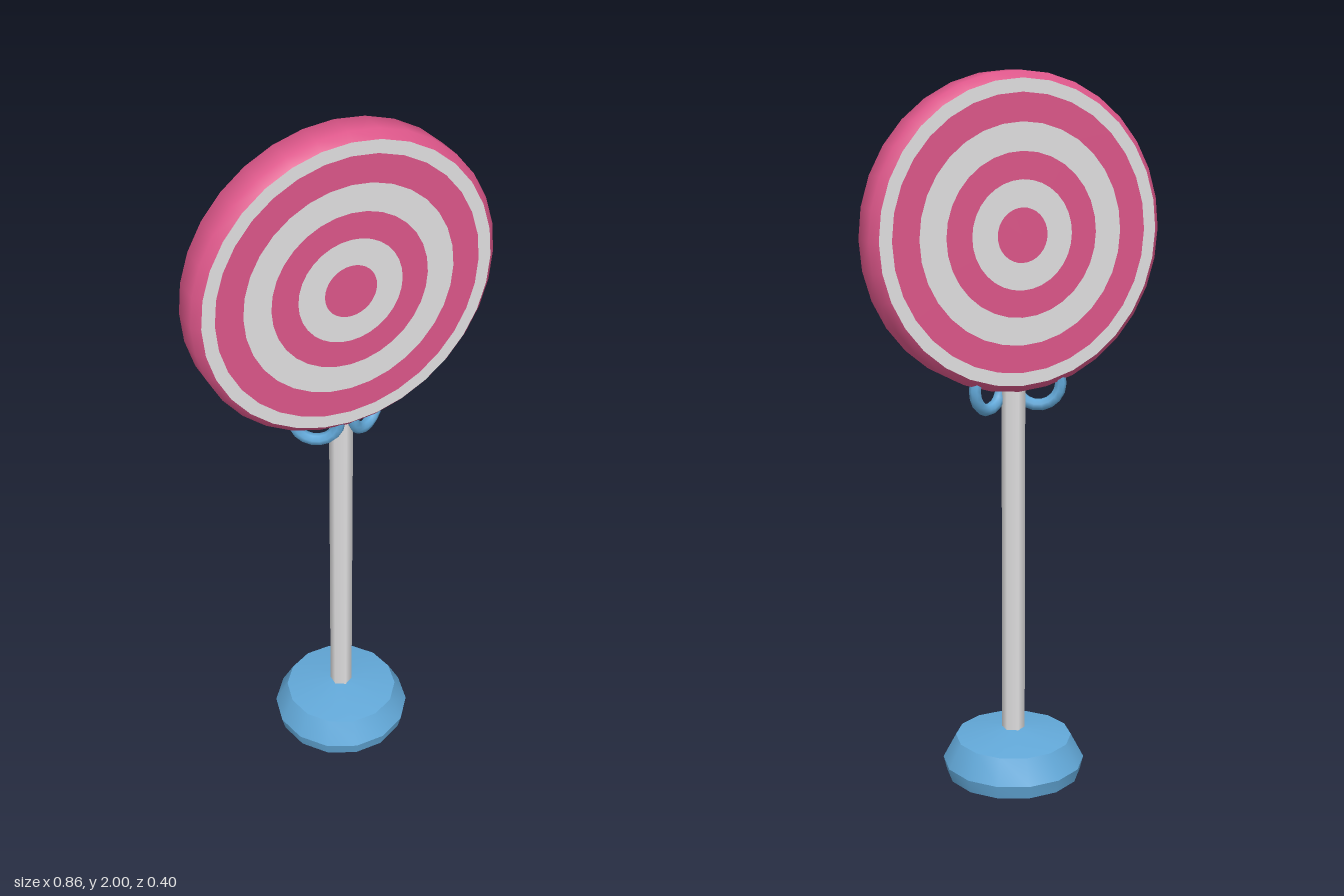
import * as THREE from 'three';
import { toCreasedNormals } from 'three/addons/utils/BufferGeometryUtils.js';

const material = (name, color) => {
  const m = new THREE.MeshStandardMaterial({ color });
  m.name = name;
  return m;
};

// Lathe around y from [radius, height] pairs, keeping sharp edges above the crease angle
const lathe = (points, sides, crease) =>
  toCreasedNormals(
    new THREE.LatheGeometry(points.map(([r, y]) => new THREE.Vector2(r, y)), sides),
    crease
  );

export function createModel() {
  const pink = material('candyPink', 0xdc5689);
  const white = material('paleGrey', 0xe0dfe0);
  const blue = material('ribbonBlue', 0x62a8d8);

  const model = new THREE.Group();
  model.name = 'lollipopSign';
  const add = (parent, name, geometry, mat) => {
    const mesh = new THREE.Mesh(geometry, mat);
    mesh.name = name;
    parent.add(mesh);
    return mesh;
  };

  // Fourteen-sided foot with a bulging side and a shallow conical top
  const base = add(model, 'base', lathe(
    [[0, 0], [0.195, 0], [0.205, 0.04], [0.168, 0.11], [0.03, 0.135], [0, 0.135]], 14, 0.7), blue);
  base.rotation.y = Math.PI / 2;

  // Six-sided stick
  const stick = add(model, 'stick', new THREE.CylinderGeometry(0.033, 0.033, 1.05, 6), white);
  stick.position.y = 0.645;

  // Bow loops below the disc, swept backwards on both sides
  for (const side of [1, -1]) {
    const loop = add(model, side > 0 ? 'leftBowLoop' : 'rightBowLoop',
      new THREE.TorusGeometry(0.063, 0.017, 7, 18), blue);
    loop.position.set(side * 0.076, 1.152, 0);
    loop.rotation.y = side * Math.PI / 6;
  }

  // Round head: bevelled rim with concentric stripes on both faces
  const head = new THREE.Group();
  head.name = 'head';
  head.position.y = 1.57;
  model.add(head);

  const half = 0.058;
  const rim = add(head, 'rim', lathe(
    [[0.41, -half], [0.43, -0.038], [0.43, 0.038], [0.41, half]], 32, 1), pink);
  rim.rotation.x = Math.PI / 2;

  const radii = [0, 0.074, 0.148, 0.222, 0.298, 0.374, 0.41];
  for (const back of [false, true]) {
    const face = new THREE.Group();
    face.name = back ? 'backStripes' : 'frontStripes';
    face.rotation.y = back ? Math.PI : 0;
    head.add(face);
    for (let i = 0; i < radii.length - 1; i++) {
      const geometry = i === 0
        ? new THREE.CircleGeometry(radii[1], 32)
        : new THREE.RingGeometry(radii[i], radii[i + 1], 32);
      const stripe = add(face, `stripe${i + 1}`, geometry, i % 2 ? white : pink);
      stripe.position.z = half;
    }
  }

  return model;
}
